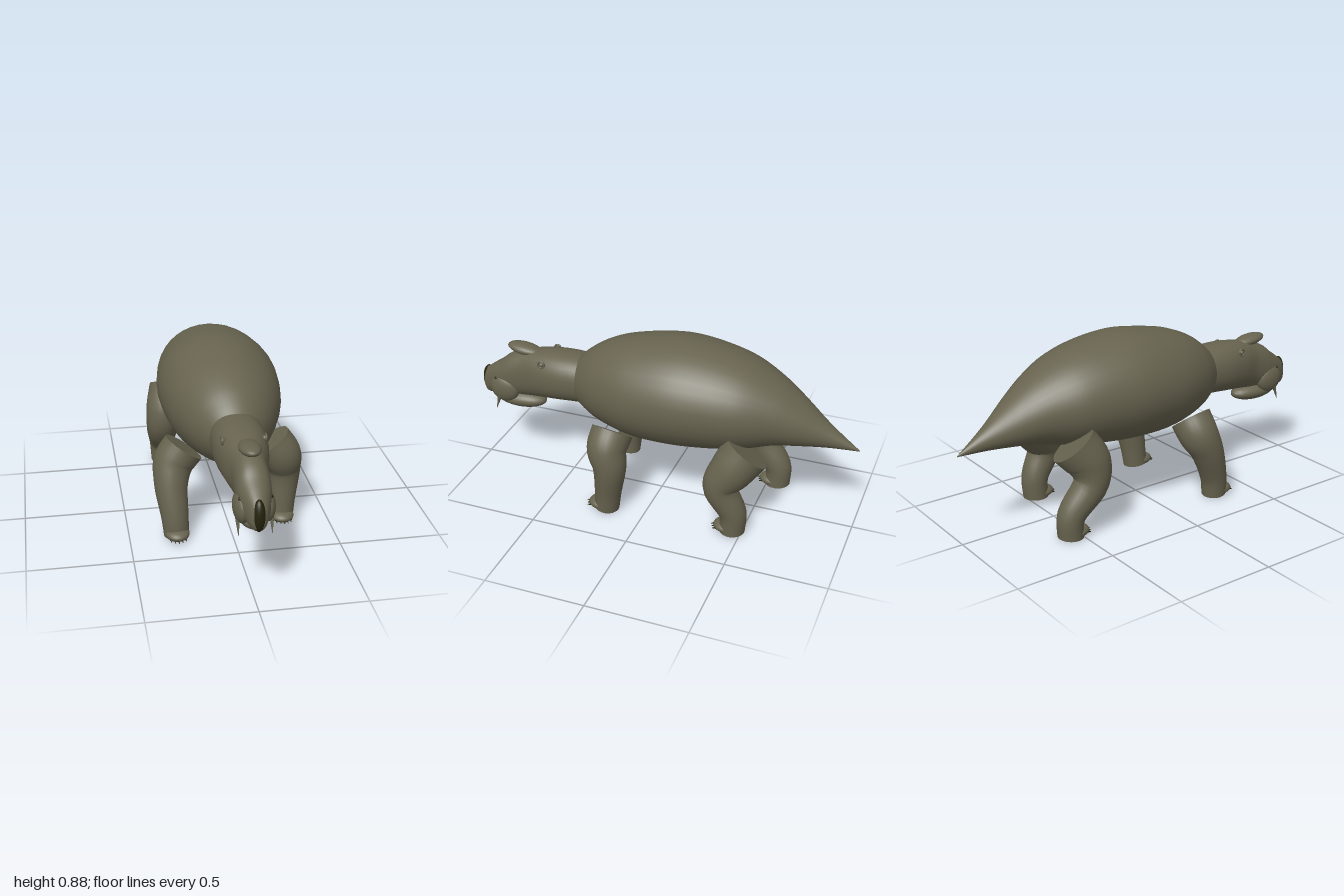
import * as THREE from 'three';

const hide = new THREE.MeshStandardMaterial({ color: 0x67634f });
hide.name = 'hide';
const dark = new THREE.MeshStandardMaterial({ color: 0x25230c });
dark.name = 'dark horn';

function add(parent, name, geometry, material) {
  const mesh = new THREE.Mesh(geometry, material);
  mesh.name = name;
  parent.add(mesh);
  return mesh;
}

// Skin a list of closed rings, with flat caps at both ends
function skin(rings) {
  const n = rings[0].length, pos = [], idx = [];
  rings.forEach(r => r.forEach(p => pos.push(p.x, p.y, p.z)));
  for (let i = 0; i < rings.length - 1; i++) {
    for (let j = 0; j < n; j++) {
      const a = i * n + j, b = i * n + (j + 1) % n;
      idx.push(a, b, a + n, b, b + n, a + n);
    }
  }
  [rings[0], rings[rings.length - 1]].forEach((r, end) => {
    const c = new THREE.Vector3();
    r.forEach(p => c.addScaledVector(p, 1 / n));
    const base = pos.length / 3;
    pos.push(c.x, c.y, c.z);
    r.forEach(p => pos.push(p.x, p.y, p.z));
    for (let j = 0; j < n; j++) {
      const a = base + 1 + j, b = base + 1 + (j + 1) % n;
      if (end) idx.push(base, a, b); else idx.push(base, b, a);
    }
  });
  const g = new THREE.BufferGeometry();
  g.setAttribute('position', new THREE.Float32BufferAttribute(pos, 3));
  g.setIndex(idx);
  g.computeVertexNormals();
  return g;
}

// Smoothly resample a table of [a, b, c, d] rows
function resample(rows, steps) {
  const curve = new THREE.CatmullRomCurve3(rows.map(r => new THREE.Vector3(r[0], r[1], r[2])));
  const extra = new THREE.CatmullRomCurve3(rows.map(r => new THREE.Vector3(r[3], 0, r[0] * 0.5 + r[1])));
  return Array.from({ length: steps + 1 }, (_, i) => {
    const t = i / steps, p = curve.getPoint(t);
    return { p, w: Math.max(extra.getPoint(t).x, 0.001), tangent: curve.getTangent(t) };
  });
}

// Loft along z from rows of [z, top, bottom, half width]
function loftZ(rows, steps, power) {
  const bend = v => Math.sign(v) * Math.abs(v) ** power;
  return skin(resample(rows, steps).map(({ p, w }) => Array.from({ length: 36 }, (_, j) => {
    const a = j / 36 * Math.PI * 2;
    return new THREE.Vector3(w * bend(Math.cos(a)), (p.y + p.z) / 2 + (p.y - p.z) / 2 * bend(Math.sin(a)), p.x);
  })));
}

// Sweep round sections along rows of [x, y, z, radius]
function sweep(rows) {
  const zAxis = new THREE.Vector3(0, 0, 1);
  return skin(resample(rows, 24).map(({ p, w, tangent }) => {
    const n = zAxis.clone().cross(tangent).normalize(), b = tangent.clone().cross(n);
    return Array.from({ length: 24 }, (_, j) => {
      const a = j / 24 * Math.PI * 2;
      return p.clone().addScaledVector(n, w * Math.cos(a)).addScaledVector(b, w * Math.sin(a));
    });
  }));
}

function ellipsoid(parent, name, [x, y, z], [rx, ry, rz], material = hide) {
  const g = new THREE.SphereGeometry(1, 24, 16);
  g.scale(rx, ry, rz);
  const mesh = add(parent, name, g, material);
  mesh.position.set(x, y, z);
  return mesh;
}

// Leg with a low foot and five claws
function leg(parent, name, side, rows) {
  const g = new THREE.Group();
  g.name = name;
  parent.add(g);
  add(g, 'limb', sweep(rows.map(([x, y, z, r]) => [x * side, y, z, r])), hide);
  const [fx, , fz] = rows[rows.length - 1];
  ellipsoid(g, 'foot', [fx * side, 0.035, fz + 0.025], [0.06, 0.03, 0.07]);
  for (let i = -2; i <= 2; i++) {
    const claw = add(g, 'claw', new THREE.ConeGeometry(0.011, 0.04, 8), dark);
    claw.position.set(fx * side + i * 0.018, 0.028, fz + 0.092 - Math.abs(i) * 0.008);
    claw.rotation.x = Math.PI / 2 + 0.35;
  }
}

export function createModel() {
  const model = new THREE.Group();
  model.name = 'creature';

  // Barrel body tapering into a pointed tail
  add(model, 'body', loftZ([
    [-1, 0.452, 0.448, 0.001], [-0.85, 0.56, 0.445, 0.055], [-0.7, 0.68, 0.435, 0.13],
    [-0.6, 0.75, 0.425, 0.18], [-0.45, 0.825, 0.385, 0.25], [-0.3, 0.865, 0.36, 0.285],
    [-0.1, 0.885, 0.342, 0.303], [0.1, 0.86, 0.342, 0.28], [0.22, 0.83, 0.362, 0.243],
    [0.32, 0.785, 0.39, 0.197], [0.39, 0.735, 0.425, 0.15], [0.44, 0.69, 0.46, 0.11],
  ], 60, 1), hide);

  // Neck and long sloping snout
  const head = new THREE.Group();
  head.name = 'head';
  model.add(head);
  add(head, 'neckAndSnout', loftZ([
    [0.35, 0.69, 0.45, 0.12], [0.45, 0.7, 0.448, 0.126], [0.55, 0.7, 0.44, 0.125],
    [0.65, 0.69, 0.43, 0.108], [0.75, 0.67, 0.415, 0.082], [0.83, 0.635, 0.41, 0.08],
    [0.88, 0.595, 0.4, 0.073], [0.93, 0.56, 0.392, 0.058], [0.97, 0.528, 0.392, 0.04],
    [0.985, 0.5, 0.41, 0.026],
  ], 40, 0.88), hide);
  const crest = ellipsoid(head, 'crest', [0, 0.678, 0.745], [0.05, 0.028, 0.095]);
  crest.rotation.x = -0.12;
  ellipsoid(head, 'jaw', [0, 0.388, 0.785], [0.07, 0.046, 0.142]);
  ellipsoid(head, 'noseHorn', [0, 0.465, 0.965], [0.029, 0.076, 0.035], dark);

  for (const s of [-1, 1]) {
    ellipsoid(head, 'cheek', [s * 0.054, 0.455, 0.85], [0.04, 0.075, 0.08]);
    ellipsoid(head, 'nostril', [s * 0.067, 0.511, 0.89], [0.009, 0.009, 0.009], dark);
    ellipsoid(head, 'eye', [s * 0.095, 0.655, 0.61], [0.013, 0.013, 0.013]);
    const rim = add(head, 'eyeRim', new THREE.TorusGeometry(0.017, 0.005, 8, 20), hide);
    rim.position.set(s * 0.099, 0.656, 0.61);
    rim.rotation.y = Math.PI / 2;
    const tusk = add(head, 'tusk', new THREE.ConeGeometry(0.014, 0.11, 12), hide);
    tusk.position.set(s * 0.075, 0.38, 0.883);
    tusk.rotation.x = Math.PI - 0.3;
  }

  // Walking stance: right front and left hind feet are forward
  const front = (elbowZ, ankleZ, footZ) => [
    [0.215, 0.43, 0.18, 0.104], [0.265, 0.36, 0.19, 0.1], [0.285, 0.27, elbowZ, 0.084],
    [0.276, 0.11, ankleZ, 0.067], [0.27, 0.015, footZ, 0.062]];
  const hind = (kneeZ, ankleZ, footZ) => [
    [0.19, 0.45, -0.5, 0.118], [0.225, 0.36, -0.44, 0.108], [0.247, 0.265, kneeZ, 0.086],
    [0.24, 0.12, ankleZ, 0.068], [0.237, 0.012, footZ, 0.063]];
  leg(model, 'rightFrontLeg', -1, front(0.23, 0.285, 0.295));
  leg(model, 'leftFrontLeg', 1, front(0.17, 0.185, 0.195));
  leg(model, 'rightHindLeg', -1, hind(-0.44, -0.55, -0.555));
  leg(model, 'leftHindLeg', 1, hind(-0.39, -0.455, -0.455));
  return model;
}
